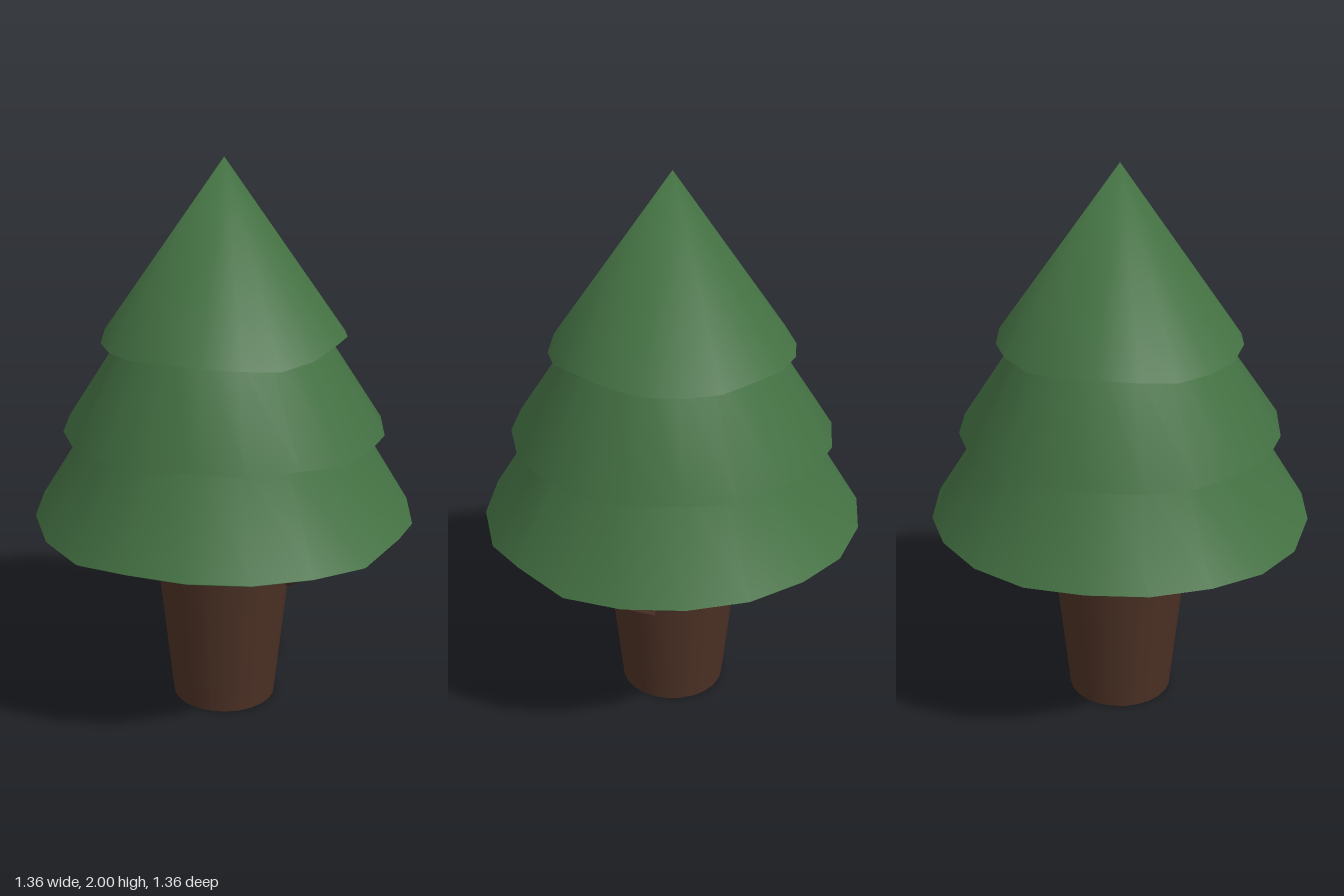
import * as THREE from 'three';
import { ConvexGeometry } from 'three/addons/geometries/ConvexGeometry.js';

const SIDES = 20;
const green = new THREE.MeshStandardMaterial({ color: 0x457344 });
const brown = new THREE.MeshStandardMaterial({ color: 0x4c3125 });
const barkFlat = new THREE.MeshStandardMaterial({ color: 0x4c3125, flatShading: true });

// Rim heights for each 18 degree step, front first, turning to +x
const upperRim = [
  1.39, 1.385, 1.378, 1.365, 1.38, 1.405, 1.4, 1.385, 1.385, 1.385,
  1.4, 1.39, 1.385, 1.375, 1.385, 1.395, 1.385, 1.37, 1.373, 1.375];
const middleRim = [
  1.06, 1.083, 1.063, 1.07, 1.047, 1.062, 1.05, 1.06, 1.07, 1.058,
  1.065, 1.065, 1.055, 1.06, 1.065, 1.065, 1.057, 1.055, 1.056, 1.058];
const lowerRim = [
  0.735, 0.735, 0.73, 0.725, 0.71, 0.74, 0.712, 0.725, 0.733, 0.735,
  0.74, 0.73, 0.735, 0.73, 0.73, 0.74, 0.735, 0.73, 0.715, 0.71];
const level = (y) => Array(SIDES).fill(y);

// One smooth skin: tip, then rings of [radius, heights] from top to bottom
function foliageGeometry(tipY, rings) {
  const pos = [0, tipY, 0];
  const index = [];
  rings.forEach(([r, heights], k) => {
    for (let i = 0; i < SIDES; i++) {
      const angle = (i / SIDES) * Math.PI * 2;
      pos.push(Math.sin(angle) * r, heights[i], Math.cos(angle) * r);
      const j = (i + 1) % SIDES;
      const c = 1 + k * SIDES + i, d = 1 + k * SIDES + j;
      if (k === 0) index.push(0, c, d);
      else index.push(c - SIDES, c, d, c - SIDES, d, d - SIDES);
    }
  });
  const geo = new THREE.BufferGeometry();
  geo.setAttribute('position', new THREE.Float32BufferAttribute(pos, 3));
  geo.setIndex(index);
  geo.computeVertexNormals();
  return geo;
}

export function createModel() {
  const tree = new THREE.Group();
  tree.name = 'tree';
  const add = (name, geometry, material) => {
    const mesh = new THREE.Mesh(geometry, material);
    mesh.name = name;
    tree.add(mesh);
  };

  // Trunk, widening upwards into the hollow under the foliage
  add('trunk', new THREE.CylinderGeometry(0.281, 0.19, 0.87, 24).translate(0, 0.435, 0), brown);

  // Broken branch stub: five-sided root, blunt four-cornered end
  const root = [[0.585, -0.085], [0.545, -0.138], [0.415, -0.143], [0.425, -0.064], [0.465, -0.005]]
    .map(([y, z]) => new THREE.Vector3(0.2, y, z));
  const end = [[0.305, 0.575, -0.085], [0.345, 0.555, -0.12], [0.34, 0.5, -0.128], [0.335, 0.51, -0.06]]
    .map((p) => new THREE.Vector3(...p));
  add('branchStub', new ConvexGeometry([...root, ...end]), barkFlat);

  // Three tiers with wavy rims, tucked in between, and a hollow underside
  add('foliage', foliageGeometry(2, [
    [0.43, upperRim],
    [0.35, level(1.4)],
    [0.57, middleRim],
    [0.475, level(1.075)],
    [0.68, lowerRim.map((y) => y + 0.012)],
    [0.66, lowerRim],
    [0.26, level(0.845)],
  ]), green);

  return tree;
}
